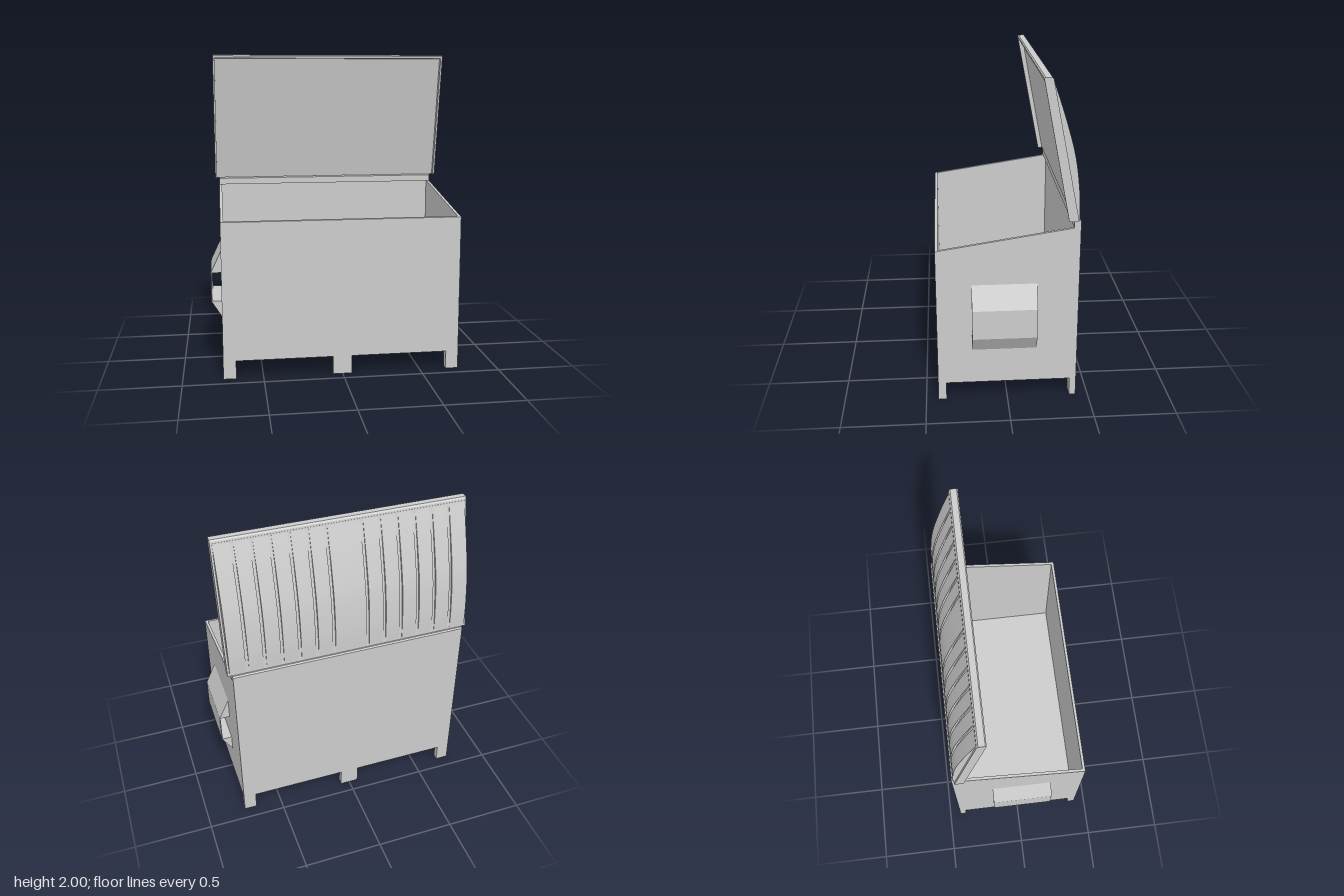
import * as THREE from 'three';
import { toCreasedNormals } from 'three/addons/utils/BufferGeometryUtils.js';

const material = new THREE.MeshStandardMaterial({ color: 0xcccccc });

export function createModel() {
  const model = new THREE.Group();

  const add = (name, geometry, parent = model) => {
    const mesh = new THREE.Mesh(geometry, material);
    mesh.name = name;
    parent.add(mesh);
    return mesh;
  };

  // Box given by its limits on each axis
  const box = (name, x0, x1, y0, y1, z0, z1, parent) =>
    add(name, new THREE.BoxGeometry(x1 - x0, y1 - y0, z1 - z0), parent)
      .position.set((x0 + x1) / 2, (y0 + y1) / 2, (z0 + z1) / 2);

  // Side profile of [z, y] points, extruded from x0 to x1
  const profile = (name, points, x0, x1, parent) => {
    const shape = new THREE.Shape(points.map(([z, y]) => new THREE.Vector2(z, y)));
    let geometry = new THREE.ExtrudeGeometry(shape, { depth: x1 - x0, bevelEnabled: false });
    geometry.rotateY(-Math.PI / 2);
    geometry.translate(x1, 0, 0);
    geometry = toCreasedNormals(geometry, 0.4);
    return add(name, geometry, parent);
  };

  const W = 0.75, D = 0.425, T = 0.018, BASE = 0.115;

  // Open bin with a sloping rim
  const body = new THREE.Group();
  body.name = 'body';
  model.add(body);
  const side = [[-D, BASE], [D, BASE], [D, 0.99], [-0.385, 1.115], [-D, 1.115]];
  profile('leftWall', side, W - T, W, body);
  profile('rightWall', side, -W, -W + T, body);
  profile('frontWall', [[D - T, BASE], [D, BASE], [D, 0.99], [D - T, 0.993]], -W + T, W - T, body);
  box('backWall', -W + T, W - T, BASE, 1.115, -D, -D + T, body);
  box('floor', -W + T, W - T, 0.145, 0.16, -D + T, D - T, body);

  // Hinge rail with softened upper edges
  profile('hingeRail', [[-D, 1.115], [-0.385, 1.115], [-0.385, 1.157], [-0.393, 1.165],
    [-0.417, 1.165], [-D, 1.157]], -W, W, body);

  // Three feet along the front and three along the back
  for (const [x0, x1] of [[-W, -0.67], [-0.06, 0.06], [0.67, W]]) {
    box('frontFoot', x0, x1, 0, 0.145, 0.375, D, body);
    box('backFoot', x0, x1, 0, 0.145, -D, -0.385, body);
  }

  // Fork pockets: a sloped wedge above and below an open slot with a thin outer plate
  const pocketParts = {
    upperWedge: [[0.75, 0.63], [0.816, 0.63], [0.75, 0.77]],
    lowerWedge: [[0.75, 0.34], [0.816, 0.445], [0.75, 0.445]],
    outerPlate: [[0.81, 0.445], [0.816, 0.445], [0.816, 0.63], [0.81, 0.63]],
  };
  for (const s of [1, -1]) {
    const pocket = new THREE.Group();
    pocket.name = s > 0 ? 'leftForkPocket' : 'rightForkPocket';
    for (const [name, points] of Object.entries(pocketParts)) {
      const shape = new THREE.Shape(points.map(([x, y]) => new THREE.Vector2(s * x, y)));
      const geometry = new THREE.ExtrudeGeometry(shape, { depth: 0.39, bevelEnabled: false });
      add(name, geometry.translate(0, 0, -0.175), pocket);
    }
    model.add(pocket);
  }

  // Raised lid: a shallow tray with a rim on the inner face
  const lid = new THREE.Group();
  lid.name = 'lid';
  model.add(lid);
  const LW = 0.777;
  const rim = [[-0.35, 1.165], [-0.19, 1.993], [-0.197, 2], [-0.235, 2], [-0.243, 1.99], [-0.408, 1.165]];
  profile('lidLeftRim', rim, LW - 0.012, LW, lid);
  profile('lidRightRim', rim, -LW, -LW + 0.012, lid);
  profile('lidTopRim', [[-0.193, 1.978], [-0.19, 1.993], [-0.197, 2], [-0.235, 2], [-0.243, 1.99],
    [-0.246, 1.975]], -LW + 0.012, LW - 0.012, lid);
  profile('lidPanel', [[-0.38, 1.165], [-0.224, 1.98], [-0.246, 1.98], [-0.408, 1.165]],
    -LW + 0.012, LW - 0.012, lid);

  // Arched outer skin, with raised panels leaving narrow grooves between them
  const arc = new THREE.SplineCurve([[-0.243, 1.985], [-0.313, 1.78], [-0.377, 1.55],
    [-0.407, 1.33], [-0.412, 1.175]].map(([z, y]) => new THREE.Vector2(z, y))).getPoints(20);
  const arched = (depth) => [[-0.39, 1.175], [-0.235, 1.985],
    ...arc.map((p, i) => [p.x + depth * Math.sin(Math.PI * i / 20), p.y])];
  profile('archedSkin', arched(0.014), -0.762, 0.762, lid);
  const grooves = [0.109, 0.218, 0.327, 0.437, 0.546, 0.655];
  const edges = [...grooves.map((x) => -x).reverse(), ...grooves];
  const G = 0.009;
  for (let i = 0; i <= edges.length; i++) {
    const x0 = i === 0 ? -0.765 : edges[i - 1] + G;
    const x1 = i === edges.length ? 0.765 : edges[i] - G;
    profile('raisedPanel', arched(0), x0, x1, lid);
  }

  return model;
}
